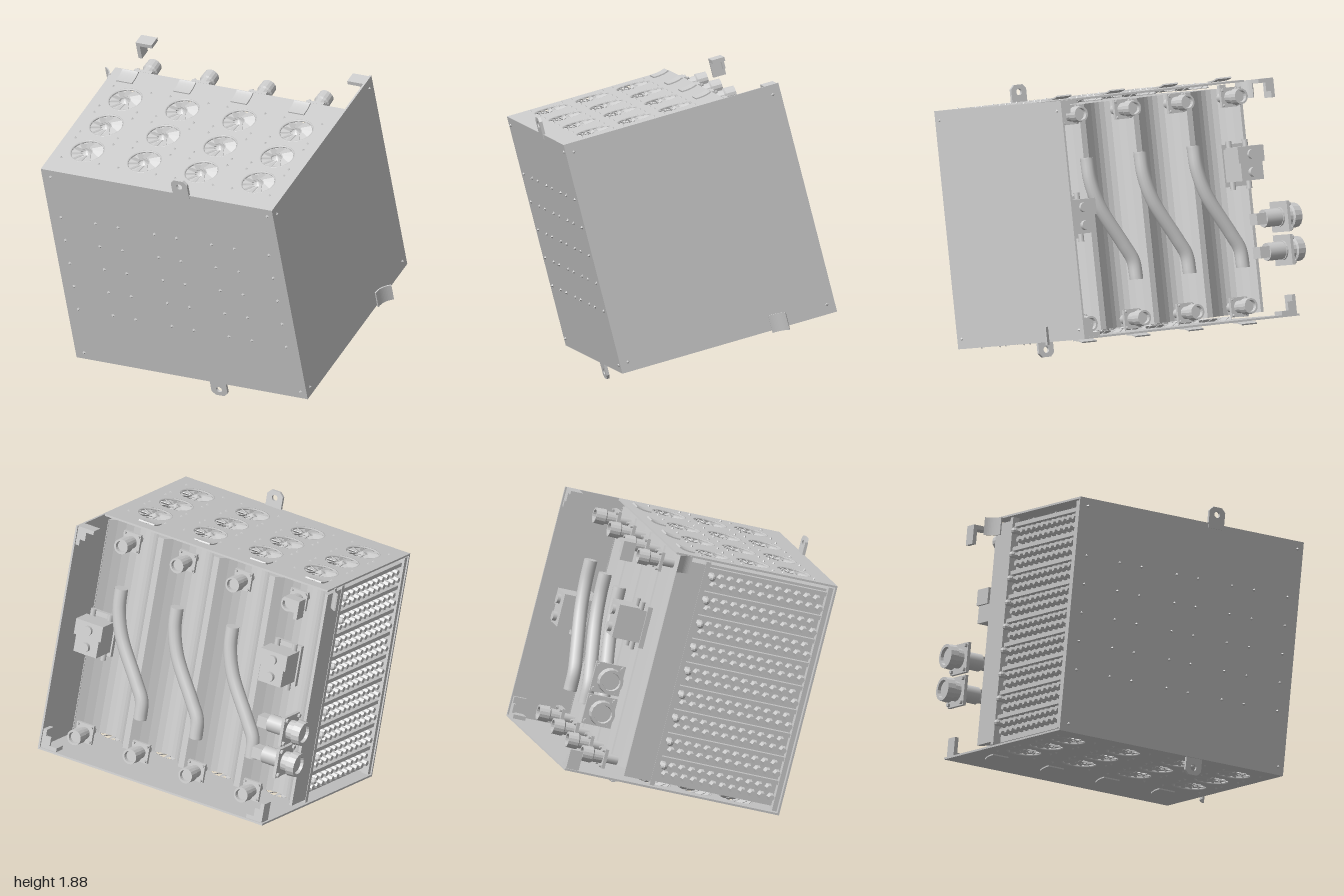
import * as THREE from 'three';

// Cabinet frame: x = width, y = height, z = forward; origin at the front lower corner.
const W = 1.59, H = 1.46, D = 1.386, TOP_D = 1.04, PITCH = 0.394, T = 0.012;
const mat = new THREE.MeshStandardMaterial({ color: 0xcccccc, side: THREE.DoubleSide });
const flat = new THREE.MeshStandardMaterial({ color: 0xcccccc, flatShading: true, side: THREE.DoubleSide });

function add(parent, name, geo, x = 0, y = 0, z = 0, m = mat) {
  const mesh = new THREE.Mesh(geo, m);
  mesh.name = name;
  mesh.position.set(x, y, z);
  parent.add(mesh);
  return mesh;
}

// Box given by its lower and upper corners
function slab(parent, name, a, b) {
  const g = new THREE.BoxGeometry(b[0] - a[0], b[1] - a[1], b[2] - a[2]);
  return add(parent, name, g, (a[0] + b[0]) / 2, (a[1] + b[1]) / 2, (a[2] + b[2]) / 2);
}

// Plan outline (x, -z) raised upward by h
function prism(shape, h) {
  return new THREE.ExtrudeGeometry(shape, { depth: h, bevelEnabled: false, curveSegments: 10 }).rotateX(-Math.PI / 2);
}

const FANS = [];
for (let i = 0; i < 4; i++) for (let j = 0; j < 3; j++) FANS.push([0.203 + 0.392 * i, -0.237 - 0.264 * j]);

function fanPlate(depth) {
  const s = new THREE.Shape();
  s.moveTo(0, 0).lineTo(W, 0).lineTo(W, depth).lineTo(0, depth).closePath();
  for (const [x, z] of FANS) s.holes.push(new THREE.Path().absarc(x, -z, 0.108, 0, Math.PI * 2, true));
  return prism(s, T);
}

function makeFan() {
  const fan = new THREE.Group();
  fan.name = 'fan';
  add(fan, 'fanRing', new THREE.TorusGeometry(0.106, 0.007, 6, 24).rotateX(Math.PI / 2));
  add(fan, 'fanHub', new THREE.ConeGeometry(0.048, 0.03, 10), 0, -0.002, 0, flat);
  const blade = new THREE.BoxGeometry(0.07, 0.004, 0.05).rotateX(0.5).translate(0.067, -0.01, 0);
  for (let k = 0; k < 11; k++) add(fan, 'fanBlade', blade, 0, 0, 0, flat).rotation.y = k * Math.PI * 2 / 11;
  return fan;
}

// Round fitting with a square flange, pointing along -z
function makeFitting(r, len) {
  const g = new THREE.Group();
  add(g, 'flange', new THREE.BoxGeometry(r * 2.5, r * 2.5, 0.02), 0, 0, -0.02);
  const pts = [[0, 0], [r * 0.8, 0], [r * 0.85, len * 0.55], [r * 1.05, len * 0.6], [r, len],
    [r * 0.75, len], [r * 0.7, len * 0.85], [0, len * 0.85]].map(p => new THREE.Vector2(...p));
  add(g, 'barrel', new THREE.LatheGeometry(pts, 16).rotateX(-Math.PI / 2), 0, 0, 0, flat);
  for (const sx of [-1, 1]) for (const sy of [-1, 1])
    add(g, 'bolt', new THREE.CylinderGeometry(r * 0.18, r * 0.18, 0.02, 6).rotateX(Math.PI / 2), sx * r, sy * r, -0.035, flat);
  return g;
}

// Rectangular latch block on the rear
function makeLatch() {
  const g = new THREE.Group();
  g.name = 'rearConnectorBlock';
  add(g, 'mountPlate', new THREE.BoxGeometry(0.18, 0.26, 0.03), 0, 0, 0.1);
  add(g, 'block', new THREE.BoxGeometry(0.16, 0.2, 0.18));
  add(g, 'cap', new THREE.BoxGeometry(0.19, 0.1, 0.13), 0, 0.06, -0.03);
  for (const y of [-0.05, 0.06])
    add(g, 'socket', new THREE.CylinderGeometry(0.03, 0.03, 0.03, 12).rotateX(Math.PI / 2), 0, y, -0.1);
  for (const x of [-0.06, 0.06])
    add(g, 'post', new THREE.CylinderGeometry(0.018, 0.018, 0.3, 8), x, 0, 0.05);
  return g;
}

// Bent sheet tab lying along z, with its rear end lifted by rise
function makeTab(rise) {
  const s = new THREE.Shape();
  s.moveTo(-0.045, 0).quadraticCurveTo(0.02, 0, 0.05, rise).lineTo(0.055, rise - 0.008).quadraticCurveTo(0.02, -0.008, -0.045, -0.008);
  return new THREE.ExtrudeGeometry(s, { depth: 0.11, bevelEnabled: false }).translate(0, 0, -0.055).rotateY(Math.PI / 2);
}

export function createModel() {
  const root = new THREE.Group();
  root.name = 'coolingCabinet';
  const c = new THREE.Group();
  c.name = 'tiltedCabinet';
  c.rotation.set(0.25, 0.213, -0.008);
  c.position.set(-0.58, 0.046, 0.641);
  root.add(c);

  // Outer sheets
  slab(c, 'frontPanel', [0, 0, -T], [W, H, 0]);
  slab(c, 'sidePanel', [W - T, 0, -D], [W, H, 0]);
  add(c, 'topPanel', fanPlate(TOP_D), 0, H - T, 0);
  add(c, 'bottomPanel', fanPlate(D), 0, 0, 0);

  // Inner core with deep rounded bays along the rear
  const core = new THREE.Shape();
  core.moveTo(0.06, 0.03).lineTo(W - 0.03, 0.03).lineTo(W - 0.03, 1.01);
  for (let i = 3; i >= 0; i--) {
    const x = 0.008 + PITCH * i;
    core.lineTo(x + PITCH - 0.02, 1.01).quadraticCurveTo(x + 0.15, 0.74, x + 0.02, 1.01);
  }
  core.lineTo(0.008, 1.01).lineTo(0.008, 0.82).lineTo(0.06, 0.82).closePath();
  add(c, 'innerCore', prism(core, H - 0.08), 0, 0.04, 0, flat);

  // Fans above and below
  for (const [x, z] of FANS) for (const top of [true, false]) {
    const fan = makeFan();
    fan.position.set(x, top ? H - 0.006 : 0.006, z);
    if (!top) fan.rotation.x = Math.PI;
    c.add(fan);
  }

  // Open side: slats with dense rows of studs
  const stud = new THREE.CylinderGeometry(0.018, 0.026, 0.05, 6).rotateZ(Math.PI / 2);
  for (let r = 0; r < 9; r++) {
    const y = 0.12 + r * 0.15;
    slab(c, 'sideSlat', [0.02, y + 0.06, -0.81], [0.07, y + 0.085, -0.03]);
    for (let k = 0; k < 12; k++) for (const row of [-0.025, 0.03])
      add(c, 'sideStud', stud, 0.038, y + row, -0.08 - k * 0.062 - row * 0.5, flat);
    add(c, 'sideEdgeBolt', new THREE.SphereGeometry(0.022, 8, 6), 0.005, y + 0.03, -0.78, flat);
  }
  for (const z of [-0.03, -0.82]) slab(c, 'sidePost', [0.005, 0.02, z - 0.02], [0.05, H - 0.02, z + 0.01]);

  // Small screws on the front and side panels
  const screw = new THREE.ConeGeometry(0.014, 0.016, 4).rotateX(Math.PI / 2);
  const cols = [0.08, 0.317, 0.472, 0.722, 0.874, 1.115, 1.272, 1.51];
  for (const x of cols) for (let r = 0; r < 5; r++) add(c, 'frontScrew', screw, x, 0.39 + 0.178 * r, 0.005, flat);
  for (const x of [0.06, W - 0.04]) for (const y of [0.05, H - 0.05]) add(c, 'cornerScrew', screw, x, y, 0.005, flat);
  const sideScrew = screw.clone().rotateY(Math.PI / 2);
  for (const z of [-0.05, -D + 0.05]) for (const y of [0.06, H - 0.06]) add(c, 'sideScrew', sideScrew, W + 0.004, y, z, flat);

  // Screws around every fan
  const upScrew = new THREE.ConeGeometry(0.012, 0.014, 4);
  for (const [x, z] of FANS) for (const sx of [-1, 1]) for (const sz of [-1, 1]) {
    add(c, 'topScrew', upScrew, x + sx * 0.13, H + 0.004, z + sz * 0.1, flat);
    add(c, 'bottomScrew', upScrew, x + sx * 0.13, -0.004, z + sz * 0.1, flat).rotation.x = Math.PI;
  }

  // Lifting lugs
  const lug = new THREE.Shape();
  lug.moveTo(-0.055, -0.03).lineTo(0.055, -0.03).lineTo(0.055, 0.08).lineTo(0.03, 0.105).lineTo(-0.03, 0.105).lineTo(-0.055, 0.08).closePath();
  lug.holes.push(new THREE.Path().absarc(0, 0.06, 0.02, 0, Math.PI * 2, true));
  const lugGeo = new THREE.ExtrudeGeometry(lug, { depth: 0.018, bevelEnabled: false }).translate(0, 0, -0.009);
  add(c, 'topLug', lugGeo, 0.965, H, -0.005);
  add(c, 'bottomLug', lugGeo, 0.965, 0, -0.018).rotation.z = Math.PI;

  // Bent tabs along the rear edges
  const lowTab = makeTab(0.016), sideTab = makeTab(0.06);
  for (let i = 0; i < 4; i++) {
    add(c, 'topTab', lowTab, 0.125 + PITCH * i, H + 0.012, -0.955);
    add(c, 'bottomTab', lowTab, 0.15 + PITCH * i, -0.012, -1.0).rotation.z = Math.PI;
  }
  add(c, 'sideTab', sideTab, W + 0.008, 0.04, -1.01).rotation.z = -Math.PI / 2;
  add(c, 'sideTab', sideTab, -0.008, H - 0.06, -0.98).rotation.z = Math.PI / 2;

  // Rear fittings
  for (let i = 0; i < 4; i++) for (const top of [true, false]) {
    const f = makeFitting(0.048, 0.16);
    f.name = 'rearFitting';
    f.position.set((top ? 0.16 : 0.25) + PITCH * i, H * (top ? 0.935 : 0.06), top ? -1.07 : -1.08);
    c.add(f);
    add(c, 'fittingBase', new THREE.CylinderGeometry(0.03, 0.03, 0.08, 10).rotateX(Math.PI / 2), f.position.x, f.position.y, f.position.z + 0.03);
  }

  // Bent rear pipes with flat ends
  const path = new THREE.CatmullRomCurve3([[1.31, 1.09], [1.3, 0.95], [1.25, 0.79], [1.1, 0.54], [1.045, 0.44], [1.035, 0.33]]
    .map(([x, y]) => new THREE.Vector3(x, y, -1.19)));
  for (let i = 0; i < 3; i++) {
    add(c, 'rearPipe', new THREE.TubeGeometry(path, 32, 0.042, 14), -PITCH * i, 0, 0);
    for (const p of [path.getPoint(0), path.getPoint(1)])
      add(c, 'pipeEnd', new THREE.CylinderGeometry(0.041, 0.041, 0.01, 14), p.x - PITCH * i, p.y, p.z);
  }
  for (const [x, y] of [[1.436, 0.74], [0.168, 0.95]]) {
    const l = makeLatch();
    l.position.set(x, y, -1.19);
    c.add(l);
  }

  // Large fittings pointing out of the open side
  for (const y of [0.405, 0.61]) {
    const f = makeFitting(0.075, 0.13);
    f.name = 'sideConnector';
    f.rotation.y = Math.PI / 2;
    f.position.set(0.008, y, -1.27);
    c.add(f);
    add(c, 'connectorNeck', new THREE.CylinderGeometry(0.055, 0.055, 0.12, 12).rotateZ(Math.PI / 2), 0.06, y, -1.27);
    slab(c, 'connectorBracket', [0.1, y - 0.035, -1.31], [0.19, y + 0.035, -1.23]);
  }

  // Rear corner brackets
  for (const left of [true, false]) for (const top of [true, false]) {
    const b = new THREE.Group();
    b.name = 'cornerBracket';
    slab(b, 'bracketFoot', [0, 0, 0], [0.11, 0.025, 0.08]);
    slab(b, 'bracketUpright', [0, 0, 0], [0.025, 0.12, 0.08]);
    slab(b, 'bracketBack', [0, 0, 0], [0.06, 0.08, 0.015]);
    b.scale.set(left ? 1 : -1, top ? -1 : 1, 1);
    b.position.set(left ? 0.012 : W - T, top ? H : T, -D + 0.01);
    c.add(b);
  }
  return root;
}
